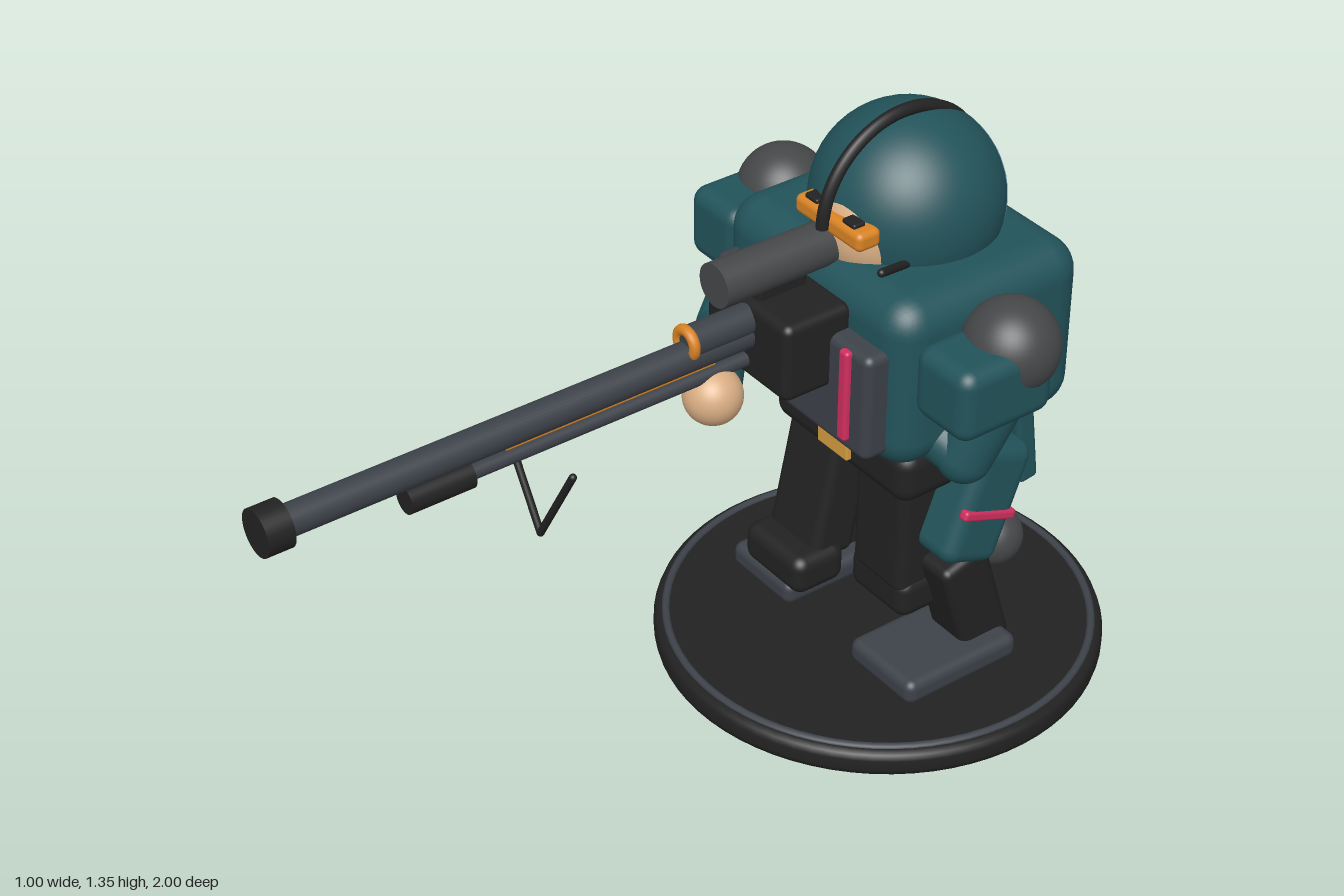
import * as THREE from 'three';
import { RoundedBoxGeometry } from 'three/addons/geometries/RoundedBoxGeometry.js';

const mat = (name, color) => {
  const m = new THREE.MeshStandardMaterial({ color });
  m.name = name;
  return m;
};

export function createModel() {
  const model = new THREE.Group();
  const teal = mat('teal armour', 0x22535a);
  const black = mat('black', 0x222222);
  const slate = mat('slate', 0x3d4249);
  const grey = mat('dark grey', 0x454749);
  const blue = mat('light blue', 0x8cb6da);
  const orange = mat('orange', 0xd98324);
  const gold = mat('gold', 0xd59c42);
  const pink = mat('pink', 0xcf2f5e);
  const skin = mat('skin', 0xd9ae84);

  // Helpers: every part is added with a name, material and position
  const add = (name, geo, material, [x, y, z], parent = model) => {
    const m = new THREE.Mesh(geo, material);
    m.name = name;
    m.position.set(x, y, z);
    parent.add(m);
    return m;
  };
  const box = (name, material, [w, h, d], r, pos, parent) =>
    add(name, new RoundedBoxGeometry(w, h, d, 4, r), material, pos, parent);
  const ball = (name, material, r, pos) =>
    add(name, new THREE.SphereGeometry(r, 40, 28), material, pos);
  const limb = (name, material, r, a, b) => {
    const p = new THREE.Vector3(...a), q = new THREE.Vector3(...b);
    const dir = q.clone().sub(p);
    const m = add(name, new THREE.CapsuleGeometry(r, dir.length(), 8, 24), material,
      p.add(q).multiplyScalar(0.5).toArray());
    m.quaternion.setFromUnitVectors(new THREE.Vector3(0, 1, 0), dir.normalize());
    return m;
  };
  const rod = (name, material, r, y, z0, z1) => {
    const m = add(name, new THREE.CylinderGeometry(r, r, Math.abs(z1 - z0), 32), material, [0, y, (z0 + z1) / 2]);
    m.rotation.x = Math.PI / 2;
    return m;
  };

  // Display base
  const profile = [[0, 0], [0.485, 0], [0.497, 0.008], [0.5, 0.02], [0.5, 0.045], [0.495, 0.058], [0.483, 0.065], [0, 0.065]]
    .map(([x, y]) => new THREE.Vector2(x, y));
  add('base', new THREE.LatheGeometry(profile, 72), black, [0, 0, -0.5]);
  add('baseRing', new THREE.TorusGeometry(0.473, 0.009, 10, 72), slate, [0, 0.064, -0.5]).rotation.x = Math.PI / 2;

  // Torso, chest plate, belt and rear skirt
  box('torso', teal, [0.6, 0.4, 0.49], 0.075, [0, 0.875, -0.522]);
  box('chestPlate', slate, [0.51, 0.25, 0.07], 0.02, [0, 0.845, -0.265]);
  box('belt', black, [0.45, 0.13, 0.28], 0.04, [0, 0.587, -0.505]);
  box('buckle', gold, [0.1, 0.066, 0.02], 0.004, [0, 0.588, -0.363]);
  box('rearSkirt', teal, [0.48, 0.24, 0.05], 0.012, [0, 0.585, -0.69]).rotation.x = 0.13;

  // Parts mirrored on both sides
  for (const s of [-1, 1]) {
    box('chestStripe', pink, [0.028, 0.215, 0.02], 0.008, [s * 0.19, 0.858, -0.227]);
    ball('shoulder', grey, 0.102, [s * 0.37, 0.968, -0.5]);
    box('pauldron', teal, [0.165, 0.165, 0.24], 0.035, [s * 0.375, 0.92, -0.43]);

    const thigh = new THREE.Group();
    thigh.name = 'thigh';
    thigh.position.set(s * 0.212, 0.485, -0.56);
    thigh.rotation.x = -0.36;
    model.add(thigh);
    box('thighArmour', teal, [0.148, 0.29, 0.155], 0.035, [0, 0, 0], thigh);
    box('thighStripe', pink, [0.024, 0.024, 0.15], 0.008, [s * 0.067, -0.018, 0], thigh);

    ball('kneeGuard', grey, 0.066, [s * 0.215, 0.34, -0.632]);
    box('shin', black, [0.118, 0.29, 0.125], 0.02, [s * 0.211, 0.215, -0.555]).rotation.x = 0.3;
    box('boot', slate, [0.21, 0.06, 0.305], 0.022, [s * 0.212, 0.097, -0.482]);
  }

  // Inner legs, one stepping ahead of the other
  box('innerLegRight', black, [0.17, 0.34, 0.115], 0.025, [-0.095, 0.42, -0.41]).rotation.x = -0.2;
  box('innerFootRight', black, [0.2, 0.095, 0.135], 0.03, [-0.092, 0.242, -0.332]);
  box('innerLegLeft', black, [0.17, 0.34, 0.12], 0.025, [0.103, 0.42, -0.46]);
  box('innerFootLeft', black, [0.187, 0.1, 0.25], 0.03, [0.102, 0.237, -0.527]);

  // Arms: right one reaches forward to support the rifle
  limb('upperArmRight', teal, 0.06, [-0.36, 0.86, -0.42], [-0.3, 0.735, -0.29]);
  limb('forearmRight', teal, 0.058, [-0.29, 0.735, -0.28], [-0.05, 0.81, -0.08]);
  ball('handRight', skin, 0.063, [0, 0.828, -0.04]);
  limb('upperArmLeft', teal, 0.06, [0.36, 0.87, -0.5], [0.32, 0.695, -0.44]);
  limb('forearmLeft', teal, 0.055, [0.32, 0.695, -0.44], [0.17, 0.77, -0.38]);

  // Head: pale sphere behind a tilted half-dome helmet
  ball('headShell', blue, 0.2, [0, 1.122, -0.535]);
  const dome = add('helmet', new THREE.SphereGeometry(0.204, 48, 24, 0, Math.PI * 2, 0, Math.PI / 2), teal, [0, 1.122, -0.53]);
  dome.quaternion.setFromUnitVectors(new THREE.Vector3(0, 1, 0), new THREE.Vector3(1.15, 1, 1.41).normalize());
  ball('face', skin, 0.125, [0.015, 1.105, -0.435]);
  box('visor', orange, [0.21, 0.043, 0.06], 0.014, [0.018, 1.143, -0.335]);
  for (const x of [-0.045, 0.075]) {
    box('visorStud', black, [0.04, 0.014, 0.03], 0.005, [x, 1.166, -0.33]);
  }
  const strap = add('helmetStrap', new THREE.TorusGeometry(0.201, 0.014, 12, 48, 2.6), black, [0.015, 1.135, -0.5]);
  strap.rotation.y = -Math.PI / 2;
  limb('microphoneBoom', black, 0.009, [0.19, 1.115, -0.31], [0.145, 1.075, -0.42]);

  // Rifle
  box('receiver', black, [0.27, 0.18, 0.17], 0.02, [0, 0.932, -0.205]);
  rod('barrel', slate, 0.033, 0.947, -0.13, 0.96);
  rod('muzzle', black, 0.05, 0.947, 0.943, 1.0);
  rod('barrelSleeve', slate, 0.034, 0.98, -0.2, 0.03);
  add('barrelRing', new THREE.TorusGeometry(0.028, 0.012, 10, 32), orange, [0, 0.98, 0.025]);
  rod('scope', grey, 0.048, 1.088, -0.32, -0.042);
  box('scopeMount', black, [0.04, 0.05, 0.12], 0.008, [0, 1.03, -0.2]);
  box('underBarrelStripe', orange, [0.02, 0.009, 0.5], 0.003, [0, 0.911, 0.21]);
  rod('underBarrelRod', slate, 0.016, 0.884, -0.13, 0.55);
  rod('underBarrelGrip', black, 0.03, 0.884, 0.54, 0.685);

  // Folding support legs
  for (const s of [-1, 1]) limb('supportLeg', black, 0.008, [s * 0.122, 0.878, 0.383], [0, 0.67, 0.383]);

  return model;
}
